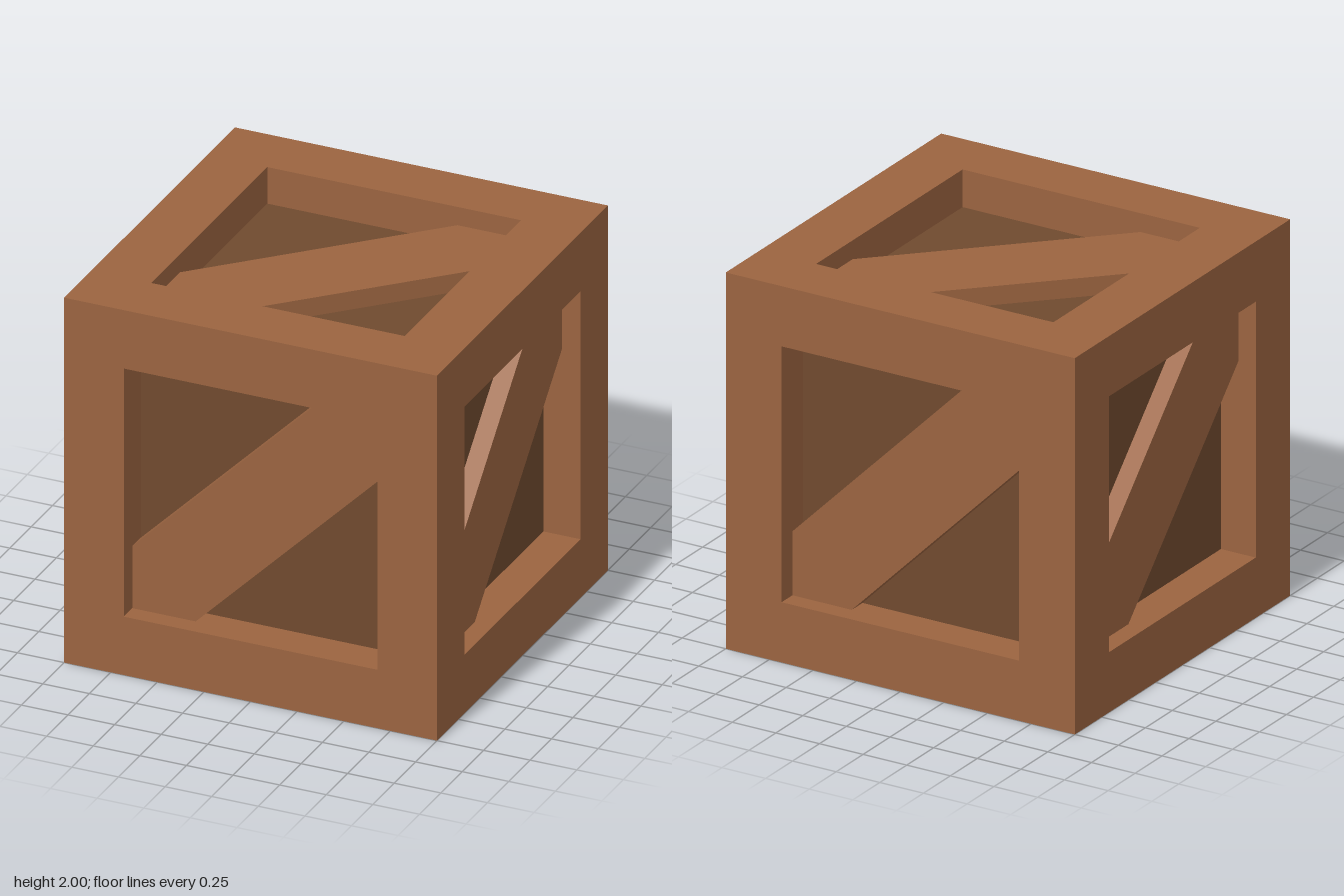
import * as THREE from 'three';

const HALF = 1;        // half size of the crate
const OPEN = 0.68;     // half size of the opening in each side
const CORE = 0.8;      // half size of the inner box
const BRACE = 0.34;    // cut-off of the diagonal board along the opening
const BRACE_DEPTH = 0.1;

const square = (s) => [[-s, -s], [s, -s], [s, s], [-s, s]].map(([x, y]) => new THREE.Vector2(x, y));

// Square frame whose outer edge is mitred, so six of them close up at the corners
function frameGeometry() {
  const shape = new THREE.Shape(square(HALF));
  shape.holes.push(new THREE.Path(square(OPEN).reverse()));
  const geo = new THREE.ExtrudeGeometry(shape, { depth: HALF - CORE, bevelEnabled: false });
  geo.translate(0, 0, CORE);
  const p = geo.attributes.position;
  for (let i = 0; i < p.count; i++) {
    if (p.getZ(i) < CORE + 0.01 && Math.abs(p.getX(i)) > 0.9) {
      p.setXY(i, Math.sign(p.getX(i)) * CORE, Math.sign(p.getY(i)) * CORE);
    }
  }
  geo.computeVertexNormals();
  return geo;
}

// Diagonal board, trimmed to the corners of the opening
function braceGeometry() {
  const shape = new THREE.Shape([
    [-OPEN, -OPEN], [-BRACE, -OPEN], [OPEN, BRACE],
    [OPEN, OPEN], [BRACE, OPEN], [-OPEN, -BRACE],
  ].map(([x, y]) => new THREE.Vector2(x, y)));
  const geo = new THREE.ExtrudeGeometry(shape, { depth: BRACE_DEPTH, bevelEnabled: false });
  return geo.translate(0, 0, CORE);
}

export function createModel() {
  const crate = new THREE.Group();
  crate.name = 'crate';
  const wood = new THREE.MeshStandardMaterial({ color: 0x9b6440 });
  const darkWood = new THREE.MeshStandardMaterial({ color: 0x704a2f });

  const add = (parent, name, geo, mat) => {
    const mesh = new THREE.Mesh(geo, mat);
    mesh.name = name;
    parent.add(mesh);
    return mesh;
  };

  // Inner box that shows as the recessed panels
  add(crate, 'innerPanels', new THREE.BoxGeometry(2 * CORE, 2 * CORE, 2 * CORE), darkWood).position.y = HALF;

  // Six sides, each a frame with a diagonal brace
  const frame = frameGeometry();
  const brace = braceGeometry();
  const q = Math.PI / 2;
  const sides = {
    front: [0, 0, 0],
    left: [0, q, 0],
    back: [0, 2 * q, 0],
    right: [0, -q, 0],
    top: [-q, 0, 0],
    bottom: [q, 0, q],
  };
  for (const [name, rotation] of Object.entries(sides)) {
    const side = new THREE.Group();
    side.name = name + 'Side';
    side.position.y = HALF;
    side.rotation.set(...rotation);
    add(side, name + 'Frame', frame, wood);
    add(side, name + 'Brace', brace, wood);
    crate.add(side);
  }
  return crate;
}
